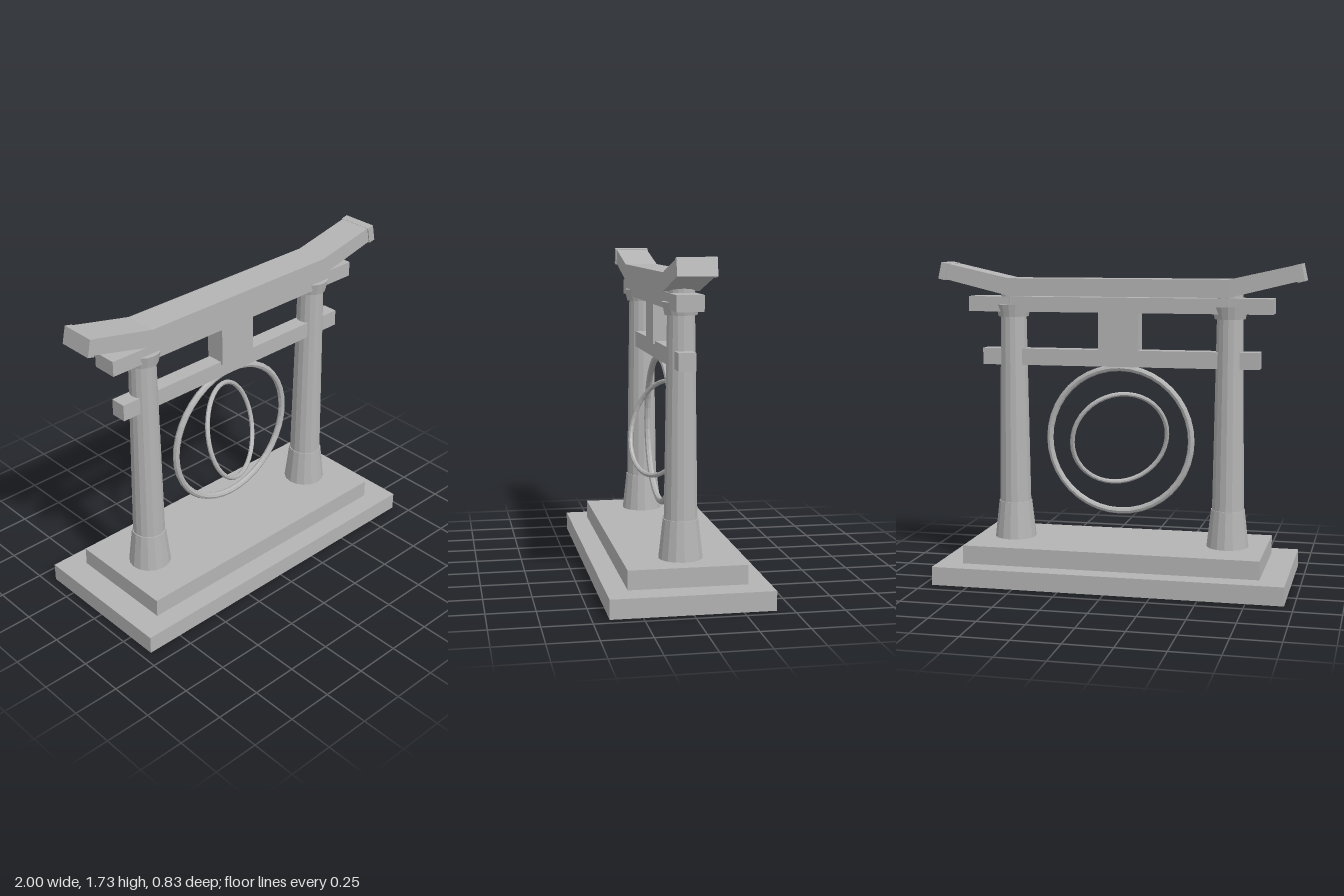
import * as THREE from 'three';

export function createModel() {
  const model = new THREE.Group();
  const stone = new THREE.MeshStandardMaterial({ color: 0xb4b4b4, flatShading: true });
  stone.name = 'grey stone';

  const add = (name, geometry, x = 0, y = 0, z = 0, parent = model) => {
    const mesh = new THREE.Mesh(geometry, stone);
    mesh.name = name;
    mesh.position.set(x, y, z);
    parent.add(mesh);
    return mesh;
  };
  // Box spanning y0..y1, centred on x and z
  const slab = (name, w, y0, y1, d) =>
    add(name, new THREE.BoxGeometry(w, y1 - y0, d), 0, (y0 + y1) / 2);
  // Tapered round piece spanning y0..y1
  const drum = (name, parent, r0, r1, y0, y1) =>
    add(name, new THREE.CylinderGeometry(r1, r0, y1 - y0, 16), 0, (y0 + y1) / 2, 0, parent);

  // Stepped base
  slab('lowerStep', 1.9, 0, 0.1, 0.83);
  slab('upperStep', 1.62, 0.1, 0.2, 0.61);

  // Two pillars with flared feet and capitals
  for (const side of [-1, 1]) {
    const pillar = new THREE.Group();
    pillar.name = side > 0 ? 'leftPillar' : 'rightPillar';
    pillar.position.x = side * 0.6;
    drum('pillarFoot', pillar, 0.115, 0.092, 0.2, 0.405);
    drum('pillarShaft', pillar, 0.087, 0.069, 0.4, 1.58);
    drum('pillarCapital', pillar, 0.083, 0.097, 1.435, 1.5);
    model.add(pillar);
  }

  // Cross beams and the block between them
  slab('lowerBeam', 1.53, 1.17, 1.26, 0.088);
  slab('upperBeam', 1.67, 1.463, 1.545, 0.138);
  slab('centreBlock', 0.22, 1.245, 1.47, 0.11);

  // Roof beam with upturned ends
  const profile = [
    [-0.6, 1.55], [0.6, 1.55], [0.99, 1.645], [0.975, 1.728],
    [0.6, 1.645], [-0.6, 1.645], [-0.975, 1.728], [-0.99, 1.645],
  ].map(([x, y]) => new THREE.Vector2(x, y));
  const roof = new THREE.ExtrudeGeometry(new THREE.Shape(profile), { depth: 0.184, bevelEnabled: false });
  add('roofBeam', roof, 0, 0, -0.092);

  // End caps on the roof beam
  for (const side of [-1, 1]) {
    const cap = add('roofEndCap', new THREE.BoxGeometry(0.04, 0.092, 0.196), side * 0.97, 1.681);
    cap.rotation.z = side * 0.215;
  }

  // Upright outer ring and tilted inner ring
  add('outerRing', new THREE.TorusGeometry(0.396, 0.018, 8, 40), 0, 0.765);
  const inner = add('innerRing', new THREE.TorusGeometry(0.265, 0.013, 8, 40), 0, 0.772);
  const axis = new THREE.Vector3(0.4, 0.285, 0.875).normalize();
  inner.quaternion.setFromUnitVectors(new THREE.Vector3(0, 0, 1), axis);

  return model;
}
